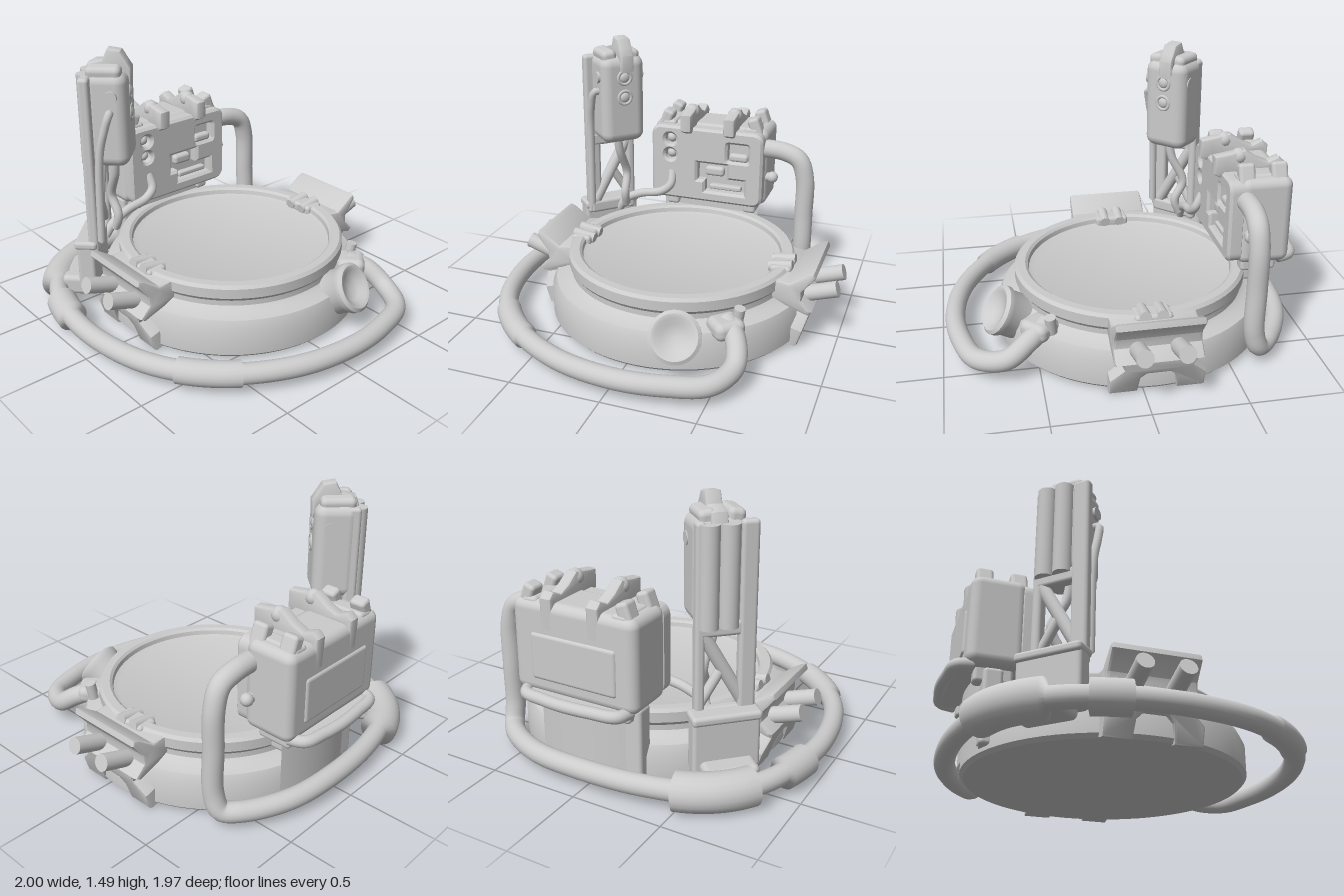
import * as THREE from 'three';
import { RoundedBoxGeometry } from 'three/addons/geometries/RoundedBoxGeometry.js';
import { toCreasedNormals } from 'three/addons/utils/BufferGeometryUtils.js';

const material = new THREE.MeshStandardMaterial({ color: 0xcccccc, side: THREE.DoubleSide });
const v = (p) => new THREE.Vector3(...p);
const curveOf = (pts) => new THREE.CatmullRomCurve3(pts.map(v), false, 'centripetal');

function add(parent, name, geometry, pos = [0, 0, 0], rot = [0, 0, 0]) {
  const mesh = new THREE.Mesh(geometry, material);
  mesh.name = name;
  mesh.position.set(...pos);
  mesh.rotation.set(...rot);
  parent.add(mesh);
  return mesh;
}

const box = (parent, name, size, pos, rot, r = 0.02) =>
  add(parent, name, new RoundedBoxGeometry(...size, 3, r), pos, rot);

// tube whose end rings close on the axis
function closedTube(curve, radius, segments = 40, sides = 20) {
  const geo = new THREE.TubeGeometry(curve, segments, radius, sides);
  const p = geo.attributes.position;
  for (const ring of [0, segments]) {
    const c = curve.getPointAt(ring / segments);
    for (let j = 0; j <= sides; j++) p.setXYZ(ring * (sides + 1) + j, c.x, c.y, c.z);
  }
  return geo;
}

// cylinder running between two points
function rod(parent, name, a, b, r0, r1 = r0) {
  const A = v(a), B = v(b);
  const mesh = add(parent, name, new THREE.CylinderGeometry(r1, r0, A.distanceTo(B), 24));
  mesh.position.copy(A).lerp(B, 0.5);
  mesh.quaternion.setFromUnitVectors(new THREE.Vector3(0, 1, 0), B.sub(A).normalize());
}

const points2 = (pts) => pts.map((p) => new THREE.Vector2(...p));
const lathe = (pts, crease = 0.5, sides = 72) =>
  toCreasedNormals(new THREE.LatheGeometry(points2(pts), sides), crease);

// prism with a polygon in x and y, centred on z
function prism(pts, depth, bevel = 0.015) {
  const geo = new THREE.ExtrudeGeometry(new THREE.Shape(points2(pts)), {
    depth: depth - 2 * bevel, bevelSize: bevel, bevelThickness: bevel, bevelOffset: -bevel, bevelSegments: 2,
  });
  return toCreasedNormals(geo.translate(0, 0, bevel - depth / 2), 0.7);
}

function rectPath(x0, y0, x1, y1, r, T = THREE.Path) {
  return new T().moveTo(x0 + r, y0).lineTo(x1 - r, y0).quadraticCurveTo(x1, y0, x1, y0 + r)
    .lineTo(x1, y1 - r).quadraticCurveTo(x1, y1, x1 - r, y1).lineTo(x0 + r, y1)
    .quadraticCurveTo(x0, y1, x0, y1 - r).lineTo(x0, y0 + r).quadraticCurveTo(x0, y0, x0 + r, y0);
}

function buildBase(g) {
  add(g, 'basePan', lathe([[0, 0.02], [0.73, 0.02], [0.75, 0.04], [0.75, 0.18], [0.725, 0.235], [0.66, 0.25],
    [0.635, 0.27], [0.635, 0.3], [0.65, 0.32], [0.65, 0.375], [0.635, 0.392], [0.59, 0.392], [0.575, 0.38],
    [0.57, 0.355], [0.54, 0.345], [0, 0.345]]), [0.06, 0, -0.07]);
  // round port on the front slope
  const port = add(g, 'frontPort', lathe([[0, -0.13], [0.125, -0.13], [0.125, 0.02], [0.137, 0.04], [0.138, 0.07],
    [0.12, 0.085], [0.1, 0.08], [0.07, 0.05], [0, 0.04]], 0.8, 40), [0.27, 0.225, 0.64]);
  port.quaternion.setFromUnitVectors(new THREE.Vector3(0, 1, 0), v([0.2, 0.5, 0.8]).normalize());
  // hose inlet lug
  box(g, 'inletLug', [0.17, 0.1, 0.16], [0.49, 0.25, 0.49], [0, 0.75, 0], 0.04);
  rod(g, 'inletPeg', [0.53, 0.22, 0.43], [0.55, 0.34, 0.44], 0.03);
}

// side clamp, drawn for the +x side
function buildClamp(g, name, side) {
  const c = new THREE.Group();
  c.name = name;
  c.position.set(0.06, 0, -0.07);
  c.rotation.y = side < 0 ? Math.PI : 0;
  g.add(c);
  const dz = (z) => side * z;
  add(c, 'clampPlate', prism([[0.82, 0.42], [0.81, 0.45], [0.78, 0.44], [0.68, 0.37], [0.6, 0.38], [0.58, 0.28],
    [0.66, 0.24], [0.78, 0.2], [0.81, 0.22], [0.75, 0.28], [0.75, 0.33]], 0.46));
  // skirt with two flared feet
  const half = [[0.06, 0.16], [0.09, 0.13], [0.1, 0.03], [0.25, 0.03], [0.25, 0.13], [0.18, 0.2], [0.2, 0.26]];
  const outline = [...half, ...half.map(([x, y]) => [-x, y]).reverse()];
  add(c, 'clampFeet', prism(outline, 0.14).rotateX(0.3).rotateY(Math.PI / 2), [0.665, 0, 0]);
  for (const z of [-0.105, 0.105]) rod(c, 'clampBolt', [0.7, 0.25, dz(z)], [0.925, 0.325, dz(z)], 0.045);
  box(c, 'hingeBase', [0.12, 0.06, 0.2], [0.6, 0.365, 0]);
  for (const z of [-0.045, 0.045]) {
    rod(c, 'hingeLug', [0.53, 0.37, dz(z)], [0.66, 0.39, dz(z)], 0.03);
    rod(c, 'hingePin', [0.6, 0.27, dz(z)], [0.62, 0.38, dz(z)], 0.04);
  }
}

function buildHose(g) {
  const hose = curveOf([[0.47, 0.27, 0.44], [0.56, 0.22, 0.55], [0.59, 0.14, 0.67], [0.51, 0.11, 0.82],
    [0.3, 0.11, 0.9], [0.03, 0.11, 0.925], [-0.3, 0.11, 0.86], [-0.62, 0.11, 0.67], [-0.84, 0.11, 0.38],
    [-0.93, 0.11, 0], [-0.9, 0.11, -0.35], [-0.8, 0.11, -0.6], [-0.62, 0.11, -0.78], [-0.32, 0.11, -0.875],
    [0.05, 0.11, -0.9], [0.33, 0.1, -0.86], [0.56, 0.09, -0.74], [0.64, 0.1, -0.66], [0.655, 0.2, -0.625],
    [0.655, 0.45, -0.625], [0.65, 0.68, -0.625], [0.61, 0.79, -0.625], [0.52, 0.83, -0.63], [0.36, 0.84, -0.63]]);
  add(g, 'hose', closedTube(hose, 0.055, 260));
  // thicker sleeves along the hose, from one point to another
  const samples = hose.getSpacedPoints(800);
  const nearest = (x, z) => {
    let best = 0;
    samples.forEach((p, i) => {
      const q = samples[best];
      if (Math.hypot(p.x - x, p.z - z) < Math.hypot(q.x - x, q.z - z)) best = i;
    });
    return best;
  };
  for (const [name, a, b, r] of [
    ['hoseSleeveFront', [-0.79, 0.47], [-0.53, 0.75], 0.068], ['hoseCollar', [-0.92, -0.24], [-0.87, -0.45], 0.084],
    ['hoseSleeveRear', [-0.82, -0.59], [-0.45, -0.85], 0.1],
  ]) {
    const i = nearest(...a), j = nearest(...b);
    const part = [0, 0.25, 0.5, 0.75, 1].map((t) => samples[Math.round(i + (j - i) * t)].toArray());
    add(g, name, closedTube(curveOf(part), r, 12));
  }
}

function buildControlBox(g) {
  const c = new THREE.Group();
  c.name = 'controlBox';
  g.add(c);
  box(c, 'housing', [0.72, 0.49, 0.29], [0.055, 0.71, -0.745], undefined, 0.05);
  // front panel with recesses
  const face = rectPath(-0.285, 0.49, 0.39, 0.93, 0.05, THREE.Shape);
  for (const y of [0.76, 0.86]) face.holes.push(new THREE.Path().absarc(-0.18, y, 0.05, 0, Math.PI * 2, true));
  face.holes.push(rectPath(0.17, 0.74, 0.33, 0.88, 0.03));
  face.holes.push(new THREE.Path(points2([[-0.02, 0.74], [0.2, 0.74], [0.2, 0.65], [0.31, 0.65], [0.31, 0.53],
    [0.03, 0.53], [0.03, 0.6], [-0.02, 0.6]])));
  add(c, 'frontPanel', toCreasedNormals(new THREE.ExtrudeGeometry(face, {
    depth: 0.06, bevelSize: 0.015, bevelThickness: 0.015, bevelSegments: 1, curveSegments: 10,
  }), 0.3), [0, 0, -0.615]);
  for (const y of [0.76, 0.86]) add(c, 'button', new THREE.SphereGeometry(0.03, 16, 10), [-0.18, y, -0.59]);
  box(c, 'switch', [0.12, 0.05, 0.05], [0.25, 0.775, -0.58]);
  box(c, 'recessTab', [0.12, 0.06, 0.05], [0.1, 0.67, -0.59]);
  box(c, 'recessBar', [0.2, 0.03, 0.05], [0.17, 0.57, -0.59], undefined, 0.01);
  // hooked straps over the top, profile in z and y
  const strap = [[0.75, 0.9], [0.89, 0.82], [0.895, 0.98], [0.86, 1.01], [0.8, 0.985], [0.74, 1.01], [0.67, 1.06],
    [0.56, 1.04], [0.5, 1.03], [0.5, 0.93], [0.535, 0.91], [0.57, 0.92]];
  for (const x of [-0.07, 0.2]) {
    add(c, 'topStrap', prism(strap, 0.07).rotateY(Math.PI / 2), [x, 0, 0]);
    add(c, 'strapKnob', new THREE.SphereGeometry(0.045, 18, 12), [x, 1.02, -0.64]);
  }
  for (const s of [-1, 1]) {
    for (const z of [-0.64, -0.82]) {
      box(c, 'cornerHorn', [0.07, 0.14, 0.09], [0.055 + s * 0.285, 0.955, z], [0, 0, s * 0.35]);
    }
    box(c, 'sideRail', [0.09, 0.06, 0.28], [0.055 + s * 0.26, 0.935, -0.73]);
    box(c, 'mountLeg', [0.08, 0.12, 0.2], [0.055 + s * 0.25, 0.45, -0.74]);
  }
  box(c, 'backPlate', [0.5, 0.25, 0.05], [0.05, 0.67, -0.875]);
  rod(c, 'sideKnob', [0.38, 0.65, -0.65], [0.44, 0.65, -0.65], 0.027);
  add(c, 'sideKnobEnd', new THREE.SphereGeometry(0.035, 18, 12), [0.445, 0.65, -0.65]);
  // curved support and rear shelf
  box(c, 'supportBlock', [0.44, 0.2, 0.14], [0.06, 0.4, -0.73]);
  box(c, 'supportFoot', [0.14, 0.4, 0.1], [-0.2, 0.26, -0.745]);
  const wall = new THREE.CylinderGeometry(0.765, 0.765, 0.42, 24, 1, true, Math.PI - 0.36, 0.72);
  add(c, 'supportWall', wall, [0.06, 0.26, -0.07]);
  const rail = curveOf([[-0.25, 0.47, -0.83], [-0.22, 0.47, -0.92], [-0.08, 0.47, -0.945], [0.07, 0.47, -0.955],
    [0.2, 0.47, -0.945], [0.32, 0.47, -0.92], [0.36, 0.47, -0.83]]);
  add(c, 'rearRail', closedTube(rail, 0.032, 48, 14));
  box(c, 'rearShelf', [0.54, 0.04, 0.12], [0.055, 0.465, -0.88], undefined, 0.015);
  // small cable to the tower
  add(c, 'cable', closedTube(curveOf([[-0.17, 0.66, -0.56], [-0.17, 0.57, -0.52], [-0.23, 0.52, -0.51],
    [-0.36, 0.49, -0.51], [-0.46, 0.44, -0.51], [-0.52, 0.36, -0.52]]), 0.026, 48, 14));
}

function buildTower(g) {
  const t = new THREE.Group();
  t.name = 'tower';
  t.position.set(-0.51, 0, -0.45);
  t.rotation.y = Math.PI / 4;
  g.add(t);
  // head faces the middle of the base
  box(t, 'head', [0.27, 0.53, 0.235], [0.015, 1.13, 0.025], undefined, 0.06);
  for (const y of [1.15, 1.27]) {
    const ring = add(t, 'headButtonRing', new THREE.TorusGeometry(0.04, 0.01, 10, 24), [0.015, y, 0.14]);
    add(ring, 'headButton', new THREE.SphereGeometry(0.03, 14, 8)).scale.z = 0.5;
  }
  for (const s of [-1, 1]) {
    rod(t, 'backRib', [0.03 + s * 0.05, 0.86, -0.09], [0.03 + s * 0.05, 1.37, -0.09], 0.05);
    rod(t, 'sideStud', [s * 0.1, 1.27, 0.06], [0.01 + s * 0.145, 1.27, 0.06], 0.035);
    box(t, 'headTopBlock', [0.09, 0.09, 0.19], [0.01 + s * 0.07, 1.385, 0.02], [0, 0, -s * 0.15], 0.03);
  }
  // claw over the head, profile in z and y
  add(t, 'headTopClaw', prism([[-0.15, 1.3], [-0.155, 1.4], [-0.13, 1.44], [-0.1, 1.49], [-0.03, 1.5], [0.0, 1.44],
    [0.08, 1.42], [0.1, 1.36], [-0.12, 1.36]], 0.085).rotateY(Math.PI / 2), [0.03, 0, 0]);
  // posts and braced frame
  box(t, 'widePost', [0.09, 1.02, 0.06], [-0.12, 0.87, -0.075]);
  box(t, 'narrowPost', [0.05, 1.02, 0.07], [0.12, 0.87, -0.065]);
  rod(t, 'brace', [-0.11, 0.45, -0.065], [0.1, 0.82, -0.065], 0.034);
  rod(t, 'shortBrace', [0.11, 0.46, -0.065], [0, 0.64, -0.065], 0.026);
  add(t, 'strut', closedTube(curveOf([[0, 0.9, 0.04], [0.02, 0.78, 0.03], [0.08, 0.62, -0.01], [0.05, 0.5, 0.03],
    [0.07, 0.4, 0]]), 0.026, 30, 12));
  for (const y of [0.4, 0.85]) box(t, 'crossBar', [0.28, 0.08, 0.06], [-0.01, y, -0.07]);
  // side pipe beside the head
  add(t, 'sidePipe', closedTube(curveOf([[-0.1, 1.18, 0.05], [-0.145, 1.18, 0.05], [-0.155, 1.1, 0.025],
    [-0.15, 0.95, -0.01], [-0.15, 0.42, -0.03]]), 0.022, 40, 12));
  // foot against the base
  box(t, 'footPlate', [0.35, 0.3, 0.1], [0, 0.27, -0.12]);
  box(t, 'footLip', [0.36, 0.05, 0.13], [0, 0.41, -0.12]);
  box(t, 'footBracket', [0.28, 0.12, 0.18], [0, 0.13, -0.19], undefined, 0.03);
}

export function createModel() {
  const model = new THREE.Group();
  model.name = 'machineBase';
  buildBase(model);
  buildClamp(model, 'leftClamp', 1);
  buildClamp(model, 'rightClamp', -1);
  buildHose(model);
  buildControlBox(model);
  buildTower(model);
  return model;
}
